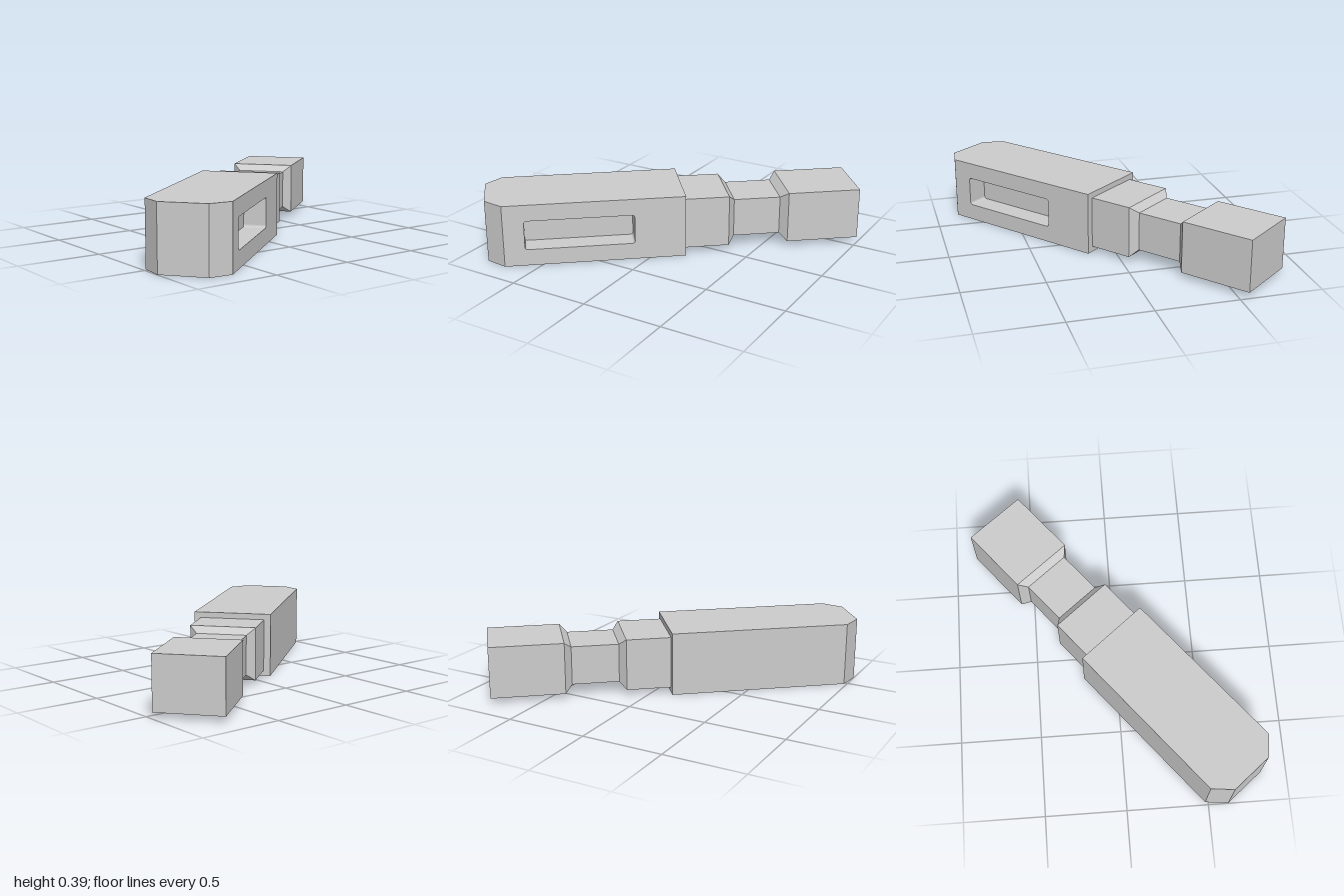
import * as THREE from 'three';

// Flat-faced geometry from convex polygons, corners counter-clockwise from outside
function facesGeometry(polygons) {
  const pos = [];
  for (const p of polygons)
    for (let i = 1; i < p.length - 1; i++) pos.push(...p[0], ...p[i], ...p[i + 1]);
  const g = new THREE.BufferGeometry();
  g.setAttribute('position', new THREE.Float32BufferAttribute(pos, 3));
  g.computeVertexNormals();
  return g;
}

export function createModel() {
  const grey = new THREE.MeshStandardMaterial({ color: 0xcccccc });
  grey.name = 'grey';
  const model = new THREE.Group();
  const add = (geometry, name) => {
    const mesh = new THREE.Mesh(geometry, grey);
    mesh.name = name;
    model.add(mesh);
  };

  const height = 0.39, half = 0.241, end = 0.03, shoulder = -1.067, tail = -1.167;

  // Body: plan outline with two cut corners; the slotted front wall is separate
  const outline = [
    [shoulder, half], [end, half], [end, -half],
    [shoulder, -half], [tail, -half + 0.1], [tail, half - 0.1],
  ];
  const at = (y) => outline.map(([x, z]) => [x, y, z]);
  const low = at(0), high = at(height);
  const body = [high, [...low].reverse()];
  for (let i = 1; i < 6; i++) {
    const j = (i + 1) % 6;
    body.push([low[i], low[j], high[j], high[i]]);
  }
  add(facesGeometry(body), 'body');

  // Slot outline with slightly rounded corners
  const x0 = -0.942, x1 = -0.281, y0 = 0.103, y1 = 0.287, r = 0.015;
  const slot = [];
  [[x0 + r, y0 + r], [x1 - r, y0 + r], [x1 - r, y1 - r], [x0 + r, y1 - r]].forEach(([x, y], corner) => {
    for (let k = 0; k <= 3; k++) {
      const a = Math.PI + (corner + k / 3) * Math.PI / 2;
      slot.push(new THREE.Vector2(x + r * Math.cos(a), y + r * Math.sin(a)));
    }
  });

  // Front wall with the slot cut through
  const wall = new THREE.Shape([[shoulder, 0], [end, 0], [end, height], [shoulder, height]]
    .map(([x, y]) => new THREE.Vector2(x, y)));
  wall.holes.push(new THREE.Path(slot));
  add(new THREE.ShapeGeometry(wall).translate(0, 0, half), 'slottedWall');

  // Recess behind the slot
  const floor = half - 0.137;
  const recess = [slot.map((p) => [p.x, p.y, floor])];
  slot.forEach((p, i) => {
    const q = slot[(i + 1) % slot.length];
    recess.push([[p.x, p.y, half], [q.x, q.y, half], [q.x, q.y, floor], [p.x, p.y, floor]]);
  });
  add(facesGeometry(recess), 'slotRecess');

  // Stepped shaft: [distance along, half height, half width]
  const loft = (sections) => {
    const rings = sections.map(([x, h, w]) =>
      [[-1, 1], [-1, -1], [1, -1], [1, 1]].map(([sy, sz]) => [x, height / 2 + sy * h, sz * w]));
    const faces = [];
    for (let i = 0; i < rings.length - 1; i++)
      for (let k = 0; k < 4; k++) {
        const n = (k + 1) % 4;
        faces.push([rings[i][k], rings[i][n], rings[i + 1][n], rings[i + 1][k]]);
      }
    faces.push(rings[rings.length - 1]);
    return facesGeometry(faces);
  };
  add(loft([
    [end, 0.16, 0.2], [0.303, 0.16, 0.2], [0.343, 0.12, 0.151],
    [0.631, 0.12, 0.151], [0.675, 0.16, 0.2], [1.124, 0.16, 0.2],
  ]), 'shaft');

  // Lay the whole piece diagonally
  model.rotation.y = 0.681;
  model.position.set(-0.002, 0, -0.002);
  const root = new THREE.Group();
  root.add(model);
  return root;
}
